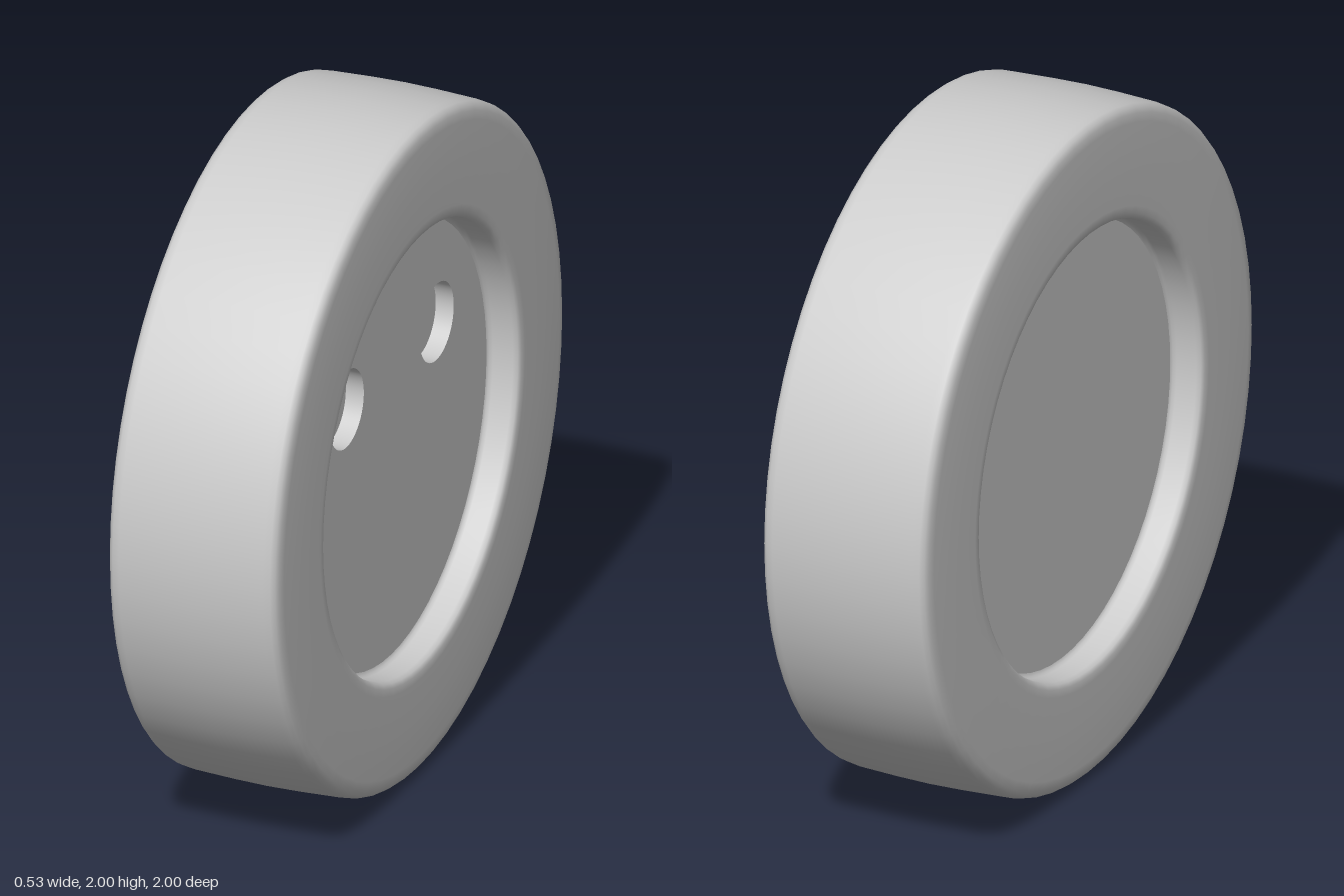
import * as THREE from 'three';

const SEGMENTS = 64;
const RECESS_RADIUS = 0.66;
const FLOOR = 0.17;          // distance of the recess floors from the middle
const HOLE_RADIUS = 0.117;
const HOLE_DEPTH = 0.055;
const HOLE_Y = 0.245;
const HOLE_Z = 0.307;

const material = new THREE.MeshStandardMaterial({ color: 0xcccccc });

function addMesh(parent, name, geometry) {
  const mesh = new THREE.Mesh(geometry, material);
  mesh.name = name;
  parent.add(mesh);
  return mesh;
}

// Lathe whose axis lies along x; profile points are [radius, x]
function latheX(points, segments) {
  const profile = points.map(([r, x]) => new THREE.Vector2(r, x));
  return new THREE.LatheGeometry(profile, segments).rotateZ(-Math.PI / 2);
}

export function createModel() {
  const model = new THREE.Group();
  const wheel = new THREE.Group();
  wheel.name = 'disc';
  wheel.position.y = 1;
  model.add(wheel);

  // Half profile of the ring, from the recess floor out to the tread
  const half = [
    [RECESS_RADIUS - 0.012, FLOOR], [RECESS_RADIUS - 0.003, FLOOR + 0.004],
    [RECESS_RADIUS, FLOOR + 0.014], [RECESS_RADIUS, 0.245],
    [RECESS_RADIUS + 0.005, 0.258], [RECESS_RADIUS + 0.018, 0.264],
    [RECESS_RADIUS + 0.04, 0.265], [0.82, 0.265], [0.94, 0.262],
    [0.965, 0.259], [0.98, 0.252], [0.989, 0.24], [0.993, 0.22], [0.998, 0.1],
  ];
  const back = half.map(([r, x]) => [r, -x]);
  addMesh(wheel, 'ring', latheX([...back, [1, 0], ...half.slice().reverse()], SEGMENTS));

  // Plain floor of the recess on the -x side
  const backFloor = addMesh(wheel, 'plainRecessFloor',
    new THREE.CircleGeometry(RECESS_RADIUS - 0.012, SEGMENTS).rotateY(-Math.PI / 2));
  backFloor.position.x = -FLOOR;

  // Floor of the recess on the +x side, pierced by two round holes
  const floorShape = new THREE.Shape().absarc(0, 0, RECESS_RADIUS - 0.012, 0, Math.PI * 2);
  for (const side of [-1, 1]) {
    floorShape.holes.push(
      new THREE.Path().absarc(side * HOLE_Z, HOLE_Y, HOLE_RADIUS, 0, Math.PI * 2, true));
  }
  const frontFloor = addMesh(wheel, 'piercedRecessFloor',
    new THREE.ShapeGeometry(floorShape, SEGMENTS / 2).rotateY(Math.PI / 2));
  frontFloor.position.x = FLOOR;

  // Shallow blind holes: wall and bottom
  for (const side of [-1, 1]) {
    const hole = new THREE.Group();
    hole.name = side > 0 ? 'frontHole' : 'rearHole';
    hole.position.set(FLOOR, HOLE_Y, side * HOLE_Z);
    wheel.add(hole);
    addMesh(hole, 'holeWall',
      latheX([[HOLE_RADIUS, -HOLE_DEPTH], [HOLE_RADIUS, 0]].reverse(), SEGMENTS));
    const bottom = addMesh(hole, 'holeBottom',
      new THREE.CircleGeometry(HOLE_RADIUS, SEGMENTS).rotateY(Math.PI / 2));
    bottom.position.x = -HOLE_DEPTH;
  }

  return model;
}
